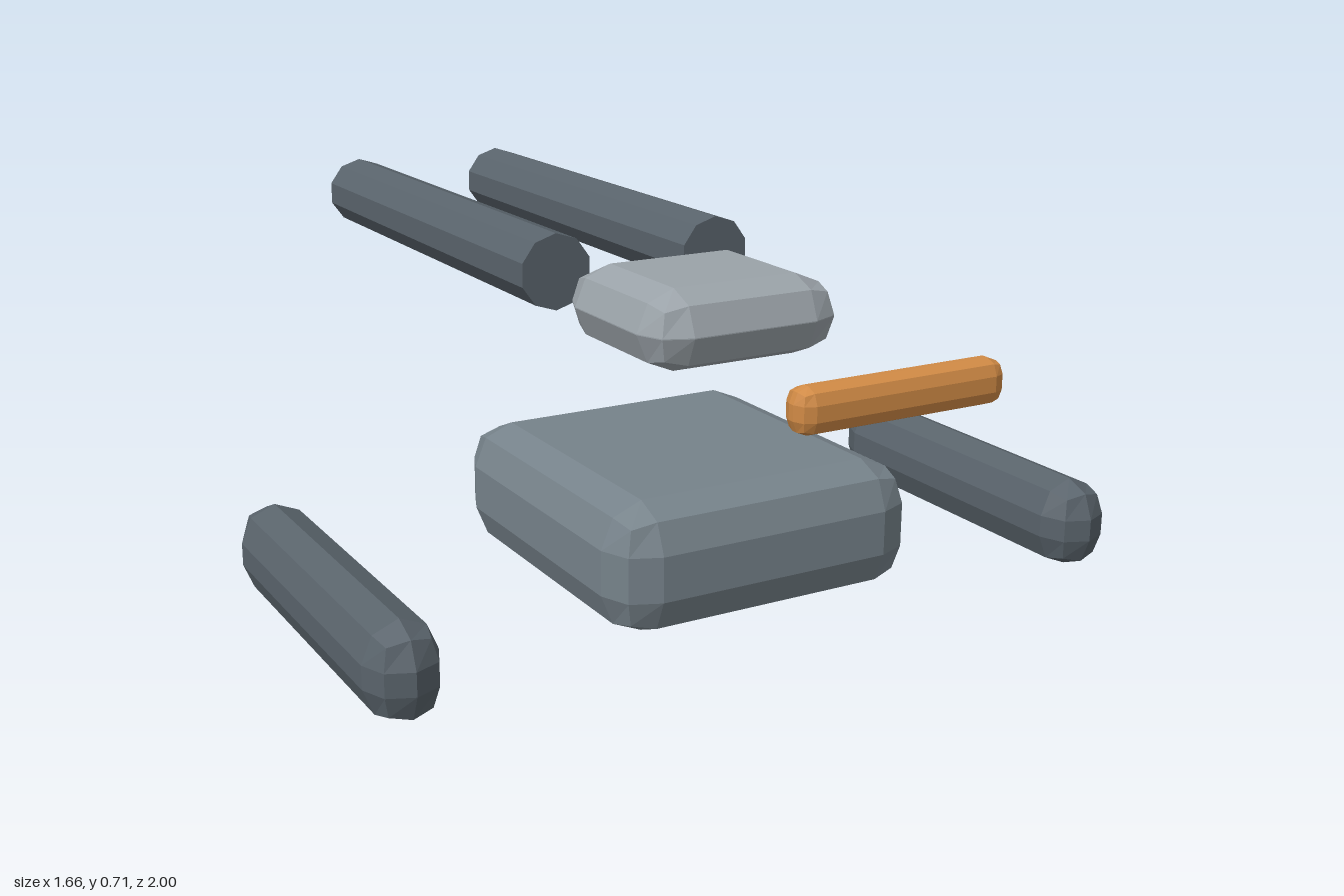
import * as THREE from 'three';
import { RoundedBoxGeometry } from 'three/addons/geometries/RoundedBoxGeometry.js';

const paint = (color) => new THREE.MeshStandardMaterial({ color, flatShading: true });

export function createModel() {
  const model = new THREE.Group();
  const hull = paint(0x76828a);
  const dark = paint(0x59636b);
  const light = paint(0x9aa2a8);
  const orange = paint(0xd08a45);

  const add = (name, geometry, material, x, y, z) => {
    const mesh = new THREE.Mesh(geometry, material);
    mesh.name = name;
    mesh.position.set(x, y, z);
    model.add(mesh);
  };
  // Box with a two-step bevel on every edge
  const bevelBox = (w, h, d, r) => new RoundedBoxGeometry(w, h, d, 1, r);

  // Central body, upper block and front bar
  add('body', bevelBox(0.67, 0.26, 0.72, 0.085), hull, 0, 0.17, 0.269);
  add('upperBlock', bevelBox(0.43, 0.16, 0.402, 0.079), light, 0, 0.592, 0.341);
  add('frontBar', bevelBox(0.427, 0.084, 0.068, 0.028), orange, 0, 0.576, 0.966);

  // Side skids and rear tubes, mirrored
  const skid = bevelBox(0.144, 0.19, 0.798, 0.072);
  const tube = new THREE.CylinderGeometry(0.08, 0.08, 1.088, 10).rotateX(Math.PI / 2);
  for (const [side, s] of [['left', 1], ['right', -1]]) {
    add(side + 'Skid', skid, dark, s * 0.756, 0.095, 0.269);
    add(side + 'Tube', tube, dark, s * 0.189, 0.635, -0.456);
  }
  return model;
}
